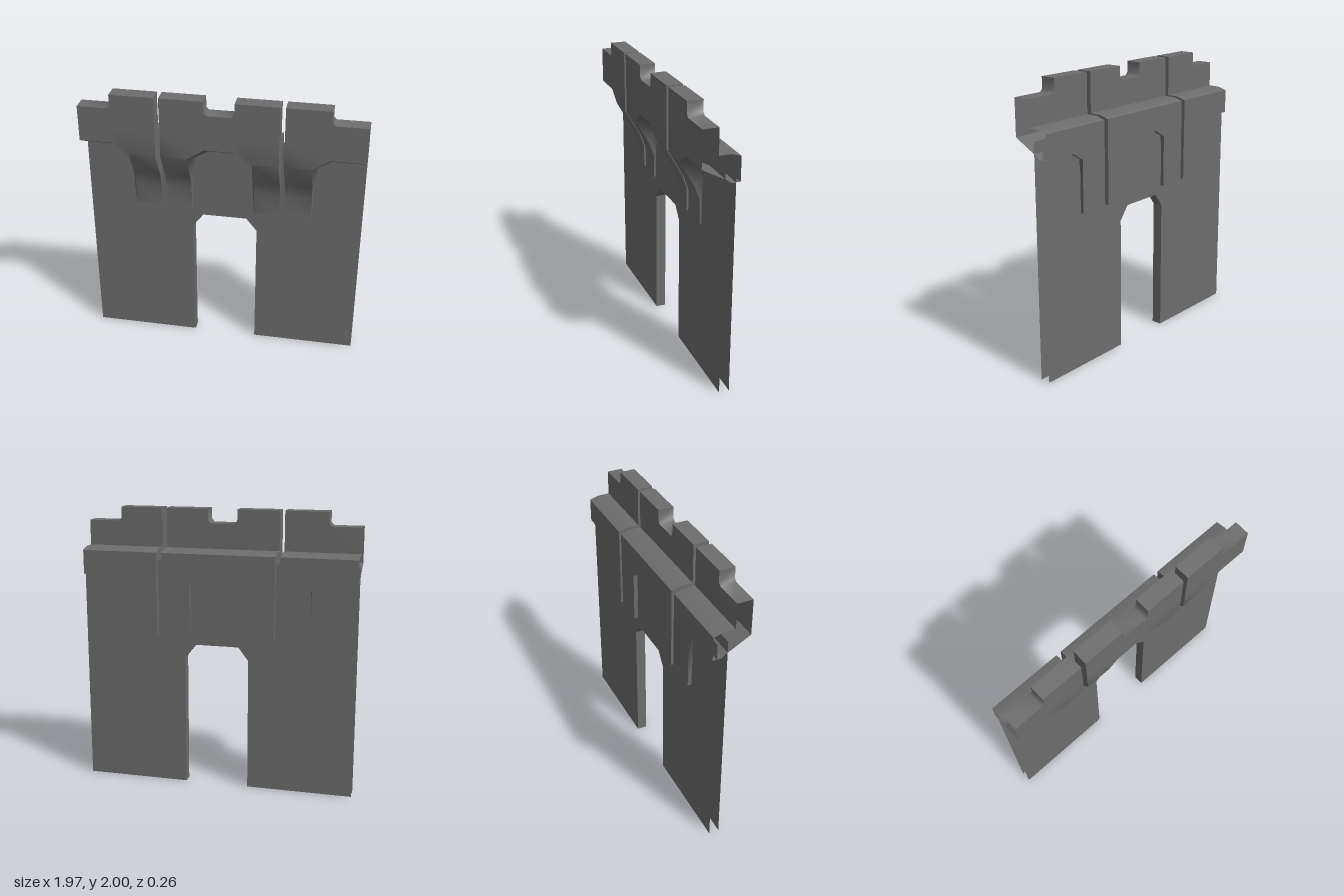
import * as THREE from 'three';
import { toCreasedNormals } from 'three/addons/utils/BufferGeometryUtils.js';

const COLOR = 0x6d6d6d;
const material = new THREE.MeshStandardMaterial({ color: COLOR, side: THREE.DoubleSide });
const flatMaterial = new THREE.MeshStandardMaterial({ color: COLOR, side: THREE.DoubleSide, flatShading: true });

const AXIS = -0.0075; // the parapet mirrors about this x
const END = 0.983; // outer ends of wall and parapet

// Underside of a cross-section, front to back: [y, z, shift in x]
const UNDERSIDE = {
  corbel: [[1.565, 0.13, 0], [1.37, 0.02, 0], [1.27, -0.015, 0], [1.107, -0.015, 0], [1.107, -0.13, 0.025]],
  corner: [[1.565, 0.13, 0], [1.52, 0.02, 0.018], [1.5, -0.028, 0.025], [1.475, -0.07, 0.025], [1.475, -0.13, 0.025]],
  arch: [[1.645, 0.13, 0], [1.585, 0.02, 0], [1.56, -0.028, 0], [1.53, -0.07, 0], [1.53, -0.13, 0]],
};

// One closed cross-section of the parapet; dir points from corbel to arch centre
function section(x, top, kind, dir, widen = 1) {
  const under = UNDERSIDE[kind].map(([y, z, s]) => [x + s * dir * widen, y, z]);
  return [[x, top, 0.02], [x, top, 0.13], [x, 1.76, 0.13], ...under, [x, 1.7, -0.13], [x, 1.72, -0.06], [x, 1.72, 0.02]]
    .map((p) => new THREE.Vector3(...p));
}

// Skin a row of cross-sections, closing the chosen ends
function loft(sections, capStart, capEnd) {
  const positions = [];
  const triangle = (a, b, c) => {
    const area = new THREE.Triangle(a, b, c).getArea();
    if (area > 1e-7) positions.push(...a.toArray(), ...b.toArray(), ...c.toArray());
  };
  for (let i = 0; i < sections.length - 1; i++) {
    const p = sections[i], q = sections[i + 1];
    p.forEach((a, j) => {
      const k = (j + 1) % p.length;
      triangle(a, p[k], q[k]);
      triangle(a, q[k], q[j]);
    });
  }
  const cap = (s, flip) => {
    const outline = s.map((v) => new THREE.Vector2(-v.z, v.y));
    for (const [a, b, c] of THREE.ShapeUtils.triangulateShape(outline, [])) {
      if (flip) triangle(s[a], s[c], s[b]);
      else triangle(s[a], s[b], s[c]);
    }
  };
  if (capStart) cap(sections[0], true);
  if (capEnd) cap(sections[sections.length - 1], false);
  const geometry = new THREE.BufferGeometry();
  geometry.setAttribute('position', new THREE.Float32BufferAttribute(positions, 3));
  return toCreasedNormals(geometry, 1.04);
}

// Outer parapet piece: corbel, half arch and end notch; the outer end is open
function outerParapet(side) {
  const rows = [
    [0.4425, 2, 'corbel', 0], [0.6325, 2, 'corbel'], [0.6325, 2, 'corner'], [0.7475, 2, 'arch'],
    [0.7475, 1.92, 'arch'], [0.7675, 1.9, 'arch'], [END - side * AXIS, 1.9, 'arch'],
  ];
  const sections = rows.map(([s, top, kind, widen]) => section(AXIS + side * s, top, kind, side, widen));
  if (side < 0) sections.reverse();
  return loft(sections, side > 0, side < 0);
}

// Middle parapet piece: two corbels with an arch and a notch between them
function middleParapet() {
  const rows = [
    [0.4075, 2, 'corbel', 0], [0.225, 2, 'corbel'], [0.225, 2, 'corner'],
    [0.105, 2, 'arch'], [0.105, 1.92, 'arch'], [0.085, 1.9, 'arch'],
  ];
  const half = (side) => rows.map(([s, top, kind, widen]) => section(AXIS + side * s, top, kind, -side, widen));
  return loft([...half(-1), ...half(1).reverse()], true, true);
}

export function createModel() {
  const group = new THREE.Group();
  const add = (geometry, name, mat = material) => {
    const mesh = new THREE.Mesh(geometry, mat);
    mesh.name = name;
    group.add(mesh);
    return mesh;
  };

  // Wall: two open sheets with a doorway cut through
  const FRONT = -0.028, BACK = -0.1;
  const door = [[-0.225, 0], [-0.225, 0.95], [-0.153, 1.045], [0.162, 1.045], [0.238, 0.95], [0.238, 0]];
  const outline = [[-END, 0], ...door, [END, 0], [END, 1.64], [-END, 1.64]];
  const shape = new THREE.Shape(outline.map(([x, y]) => new THREE.Vector2(x, y)));
  add(new THREE.ShapeGeometry(shape), 'wallFront', flatMaterial).position.z = FRONT;
  const backShape = new THREE.Shape(outline.map(([x, y]) => new THREE.Vector2(-x, y)));
  const back = add(new THREE.ShapeGeometry(backShape), 'wallBack', flatMaterial);
  back.rotation.y = Math.PI;
  back.position.z = BACK;

  // Doorway lining
  const lining = [];
  for (let i = 0; i < door.length - 1; i++) {
    const [a, b] = [door[i], door[i + 1]];
    lining.push(...a, FRONT, ...a, BACK, ...b, BACK, ...a, FRONT, ...b, BACK, ...b, FRONT);
  }
  const liningGeometry = new THREE.BufferGeometry();
  liningGeometry.setAttribute('position', new THREE.Float32BufferAttribute(lining, 3));
  liningGeometry.computeVertexNormals();
  add(liningGeometry, 'doorwayLining', flatMaterial);

  // Overhanging parapet in three pieces
  add(outerParapet(-1), 'rightParapet');
  add(middleParapet(), 'middleParapet');
  add(outerParapet(1), 'leftParapet');
  return group;
}
